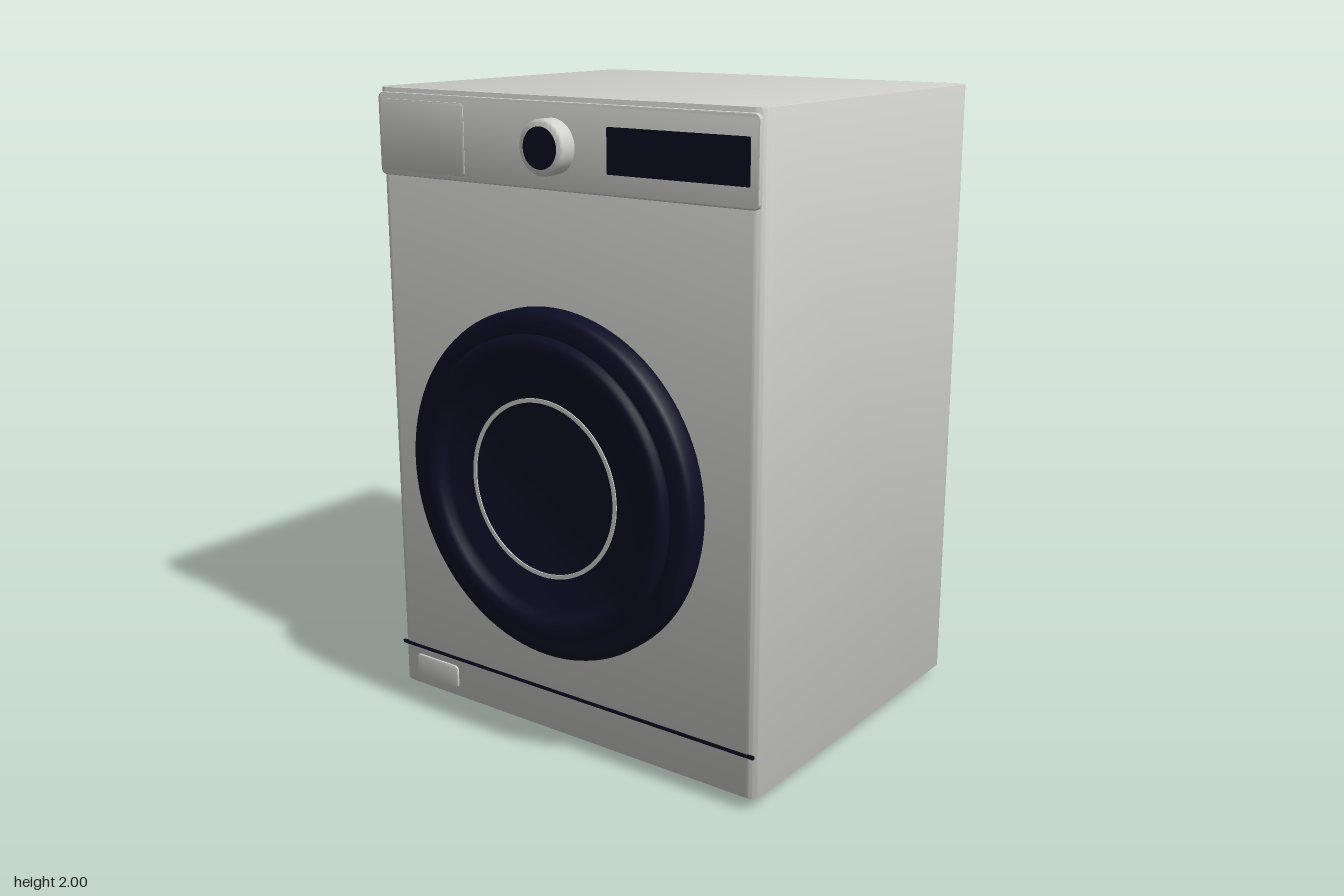
import * as THREE from 'three';
import { toCreasedNormals } from 'three/addons/utils/BufferGeometryUtils.js';

const FRONT = 0.53; // z of the cabinet front

const light = new THREE.MeshStandardMaterial({ color: 0xd0d0cc });
light.name = 'warm white';
const dark = new THREE.MeshStandardMaterial({ color: 0x0d0d24 });
dark.name = 'midnight blue';

function roundedRect(w, h, r) {
  const x = w / 2, y = h / 2, s = new THREE.Shape();
  s.moveTo(-x + r, -y);
  s.lineTo(x - r, -y);
  s.absarc(x - r, -y + r, r, -Math.PI / 2, 0);
  s.lineTo(x, y - r);
  s.absarc(x - r, y - r, r, 0, Math.PI / 2);
  s.lineTo(-x + r, y);
  s.absarc(-x + r, y - r, r, Math.PI / 2, Math.PI);
  s.lineTo(-x, -y + r);
  s.absarc(-x + r, -y + r, r, Math.PI, Math.PI * 1.5);
  return s;
}

// Rounded plate extruded towards +z, with an optional bevel inside its outline
function plateGeometry(w, h, r, depth, bevel = 0) {
  const geo = new THREE.ExtrudeGeometry(roundedRect(w - 2 * bevel, h - 2 * bevel, r), {
    depth: depth - 2 * bevel, curveSegments: 8,
    bevelEnabled: bevel > 0, bevelSize: bevel, bevelThickness: bevel, bevelSegments: 2,
  });
  geo.translate(0, 0, bevel);
  return toCreasedNormals(geo, 0.6);
}

// Turned part whose axis points to +z; points are [radius, z] from the back outwards
function turned(points, segments = 72) {
  const geo = new THREE.LatheGeometry(points.map(([r, z]) => new THREE.Vector2(r, z)), segments);
  geo.rotateX(Math.PI / 2);
  return toCreasedNormals(geo, 0.7);
}

export function createModel() {
  const model = new THREE.Group();
  model.name = 'washingMachine';

  const add = (name, geo, mat, x = 0, y = 0, z = 0) => {
    const mesh = new THREE.Mesh(geo, mat);
    mesh.name = name;
    mesh.position.set(x, y, z);
    model.add(mesh);
    return mesh;
  };

  // Cabinet with rounded upright edges
  const cabinet = plateGeometry(1.41, 1.175, 0.036, 1.96, 0.004);
  cabinet.rotateX(-Math.PI / 2);
  add('cabinet', cabinet, light, 0, 0.04, -0.0575);

  // Control panel, detergent drawer and display
  add('controlPanel', plateGeometry(1.385, 0.25, 0.015, 0.017, 0.004), light, 0, 1.86, FRONT - 0.008);
  add('detergentDrawer', plateGeometry(0.35, 0.215, 0.012, 0.012, 0.003), light, -0.515, 1.858, FRONT - 0.001);
  add('display', plateGeometry(0.47, 0.13, 0.004, 0.007), dark, 0.43, 1.86, FRONT + 0.005);

  // Programme knob
  add('knob', turned([
    [0.08, 0], [0.08, 0.056], [0.077, 0.062], [0.072, 0.065], [0, 0.065],
  ], 48), light, 0, 1.86, FRONT);
  add('knobCap', turned([[0.06, 0], [0.06, 0.004], [0, 0.004]], 48), dark, 0, 1.86, FRONT + 0.064);

  // Door: outer rim, raised ring and shallow glass bowl
  add('door', turned([
    [0.515, 0], [0.527, 0.006], [0.535, 0.02], [0.535, 0.062], [0.53, 0.075], [0.52, 0.083],
    [0.508, 0.086], [0.465, 0.086], [0.465, 0.098], [0.459, 0.109], [0.448, 0.115],
    [0.425, 0.115], [0.41, 0.112], [0.398, 0.103], [0.39, 0.09], [0.375, 0.082], [0, 0.08],
  ], 96), dark, 0, 0.865, FRONT);
  add('doorTrimRing', turned([
    [0.275, 0], [0.275, 0.006], [0.262, 0.006], [0.262, 0],
  ], 96), light, 0, 0.865, FRONT + 0.079);

  // Plinth seam and filter hatch
  add('plinthSeam', new THREE.BoxGeometry(1.395, 0.01, 0.008), dark, 0, 0.175, FRONT);
  add('filterHatch', plateGeometry(0.185, 0.078, 0.012, 0.009, 0.003), light, -0.543, 0.108, FRONT - 0.003);

  // Feet
  const foot = new THREE.CylinderGeometry(0.05, 0.05, 0.045, 24);
  for (const x of [-0.575, 0.575]) {
    for (const z of [-0.507, 0.393]) add('foot', foot, dark, x, 0.0225, z);
  }

  return model;
}
